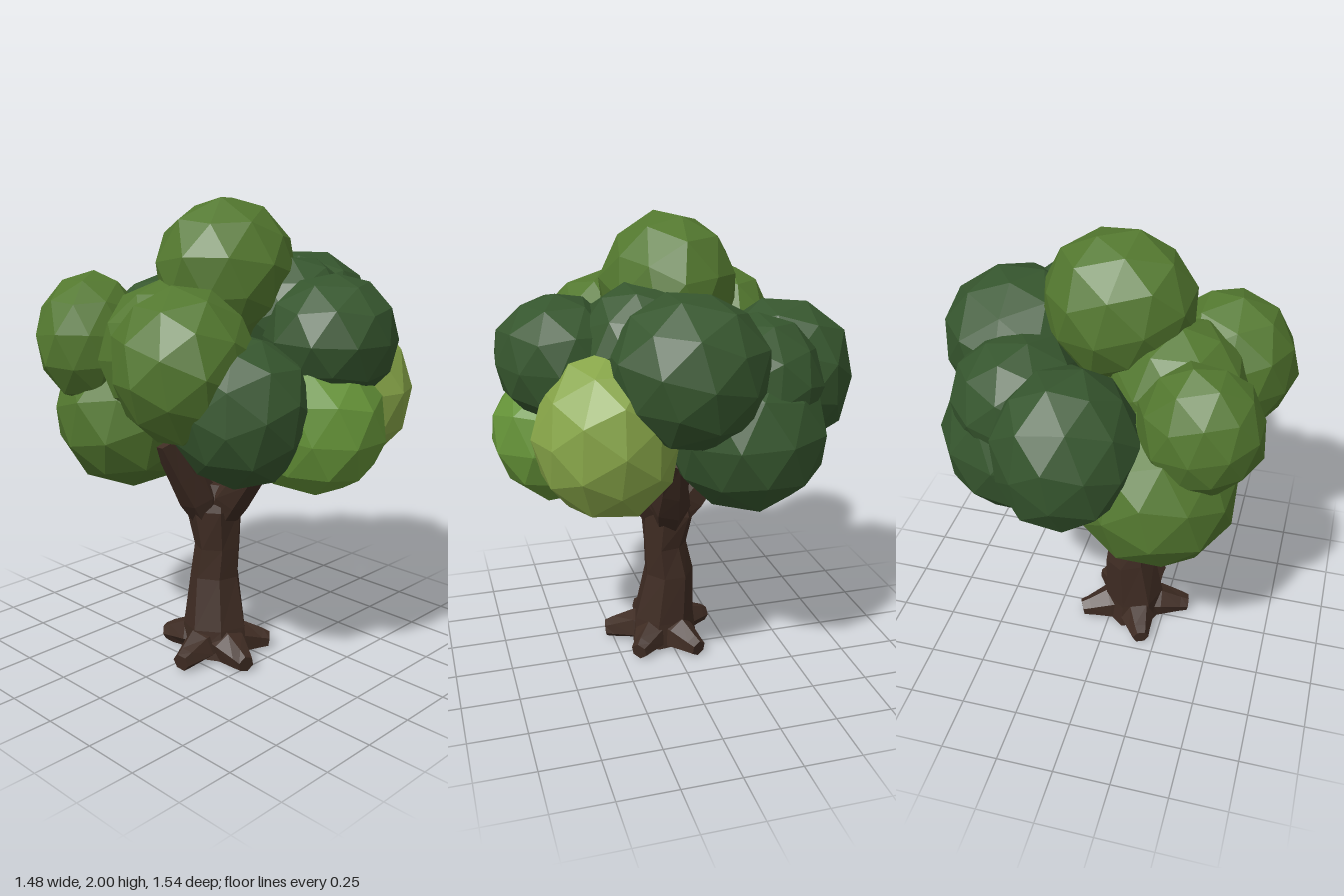
import * as THREE from 'three';

const mat = (color) => new THREE.MeshStandardMaterial({ color, flatShading: true });
const bark = mat(0x3f2c23);
const dark = mat(0x36562e);
const mid = mat(0x53782f);
const fresh = mat(0x659338);
const lime = mat(0x87a548);

// Repeatable pseudo-random value in 0..1 from a position
const hash = (x, y, z, seed) => {
  const s = Math.sin(x * 12.99 + y * 78.23 + z * 37.72 + seed * 5.17) * 4375.85;
  return s - Math.floor(s);
};

// Faceted foliage clump: a rotated low-poly sphere, slightly dented, stretched to its radii
function clump(name, material, [x, y, z], [rx, ry, rz], seed) {
  const geo = new THREE.IcosahedronGeometry(1, 1);
  geo.deleteAttribute('uv');
  const p = geo.attributes.position;
  const v = new THREE.Vector3();
  for (let i = 0; i < p.count; i++) {
    v.fromBufferAttribute(p, i);
    const q = v.clone().multiplyScalar(50).round();
    v.multiplyScalar(1.04 - 0.06 * hash(q.x, q.y, q.z, seed));
    p.setXYZ(i, v.x, v.y, v.z);
  }
  geo.rotateX(seed * 1.3).rotateY(seed * 2.1);
  geo.scale(rx, ry, rz).translate(x, y, z);
  geo.computeVertexNormals();
  const mesh = new THREE.Mesh(geo, material);
  mesh.name = name;
  return mesh;
}

// Faceted limb: rings of the given radii strung along a path of [x, y, z, radius], capped at both ends
function limb(name, path, sides, twist = 0) {
  const pts = path.map((a) => new THREE.Vector3(a[0], a[1], a[2]));
  const up = new THREE.Vector3(0, 1, 0);
  const pos = [];
  const idx = [];
  const last = pts.length - 1;
  pts.forEach((c, i) => {
    const dir = pts[Math.min(i + 1, last)].clone().sub(pts[Math.max(i - 1, 0)]).normalize();
    const turn = new THREE.Quaternion().setFromUnitVectors(up, dir);
    for (let j = 0; j < sides; j++) {
      const a = (j / sides) * Math.PI * 2 + twist;
      const r = path[i][3] * (0.94 + 0.12 * hash(i, j, 0, twist));
      const v = new THREE.Vector3(Math.sin(a) * r, 0, Math.cos(a) * r).applyQuaternion(turn).add(c);
      pos.push(v.x, Math.max(0, v.y), v.z);
      if (i < last) {
        const k = i * sides + j;
        const n = i * sides + ((j + 1) % sides);
        idx.push(k, n, n + sides, k, n + sides, k + sides);
      }
    }
  });
  for (let j = 1; j < sides - 1; j++) {
    const e = last * sides;
    idx.push(0, j + 1, j, e, e + j, e + j + 1);
  }
  const geo = new THREE.BufferGeometry();
  geo.setAttribute('position', new THREE.Float32BufferAttribute(pos, 3));
  geo.setIndex(idx);
  geo.computeVertexNormals();
  const mesh = new THREE.Mesh(geo, bark);
  mesh.name = name;
  return mesh;
}

export function createModel() {
  const tree = new THREE.Group();
  tree.name = 'tree';

  // Trunk with a flared foot and a swelling below the fork
  const wood = new THREE.Group();
  wood.name = 'wood';
  wood.add(limb('trunk', [
    [-0.1, 0.01, 0.02, 0.15], [-0.1, 0.13, 0.02, 0.14], [-0.083, 0.36, 0.0, 0.113],
    [-0.08, 0.5, 0.018, 0.102], [-0.08, 0.67, 0.0, 0.128], [-0.07, 0.79, 0.0, 0.1],
  ], 7, 0.3));

  // Spreading roots
  const tips = [[-0.36, 0.07], [-0.17, 0.28], [0.08, 0.18], [0.13, -0.09], [-0.19, -0.21]];
  tips.forEach(([x, z], i) => {
    const at = (t, y, r) => [-0.1 + (x + 0.1) * t, y, 0.02 + (z - 0.02) * t, r];
    wood.add(limb('root', [at(0.1, 0.06, 0.09), at(0.5, 0.06, 0.078), at(0.85, 0.045, 0.05), at(1, 0.04, 0.038)], 6, i));
  });

  // Branches rising into the crown
  const ends = [[-0.34, 1.02, -0.03], [0.25, 1.04, 0.06], [-0.08, 1.05, 0.3], [0.0, 1.1, -0.27]];
  ends.forEach(([x, y, z], i) => {
    wood.add(limb('branch', [
      [-0.08 + (x + 0.08) * 0.1, 0.62, z * 0.1, 0.07],
      [-0.08 + (x + 0.08) * 0.35, 0.74, z * 0.35, 0.088],
      [-0.08 + (x + 0.08) * 0.65, 0.86, z * 0.65, 0.074],
      [x, y, z, 0.06],
    ], 6, i * 0.7));
  });
  tree.add(wood);

  // Crown of overlapping clumps
  const crown = new THREE.Group();
  crown.name = 'crown';
  [
    ['topClump', mid, [-0.02, 1.69, 0.015], [0.315, 0.312, 0.283]],
    ['backClump', dark, [0.06, 1.31, -0.475], [0.295, 0.33, 0.31]],
    ['leftUpperClump', dark, [0.42, 1.455, 0.05], [0.32, 0.308, 0.325]],
    ['leftLowerClump', dark, [0.325, 1.165, -0.22], [0.34, 0.34, 0.33]],
    ['leftBackClump', dark, [0.32, 1.36, -0.25], [0.28, 0.28, 0.28]],
    ['leftFrontClump', lime, [0.35, 1.195, 0.36], [0.275, 0.34, 0.295]],
    ['upperFrontFiller', dark, [0.21, 1.5, 0.19], [0.265, 0.26, 0.255]],
    ['frontUpperClump', dark, [0.08, 1.46, 0.5], [0.29, 0.255, 0.26]],
    ['frontLowerClump', fresh, [0.0, 1.12, 0.48], [0.29, 0.297, 0.3]],
    ['rightFrontClump', dark, [-0.305, 1.2, 0.365], [0.285, 0.305, 0.29]],
    ['rightClump', mid, [-0.45, 1.38, 0.21], [0.295, 0.312, 0.28]],
    ['rightFiller', mid, [-0.29, 1.38, -0.05], [0.3, 0.295, 0.28]],
    ['rightBackUpperClump', mid, [-0.44, 1.42, -0.37], [0.25, 0.272, 0.222]],
    ['rightBackLowerClump', mid, [-0.265, 1.09, -0.325], [0.34, 0.345, 0.34]],
  ].forEach((c, i) => crown.add(clump(...c, i + 1)));
  tree.add(crown);
  return tree;
}
